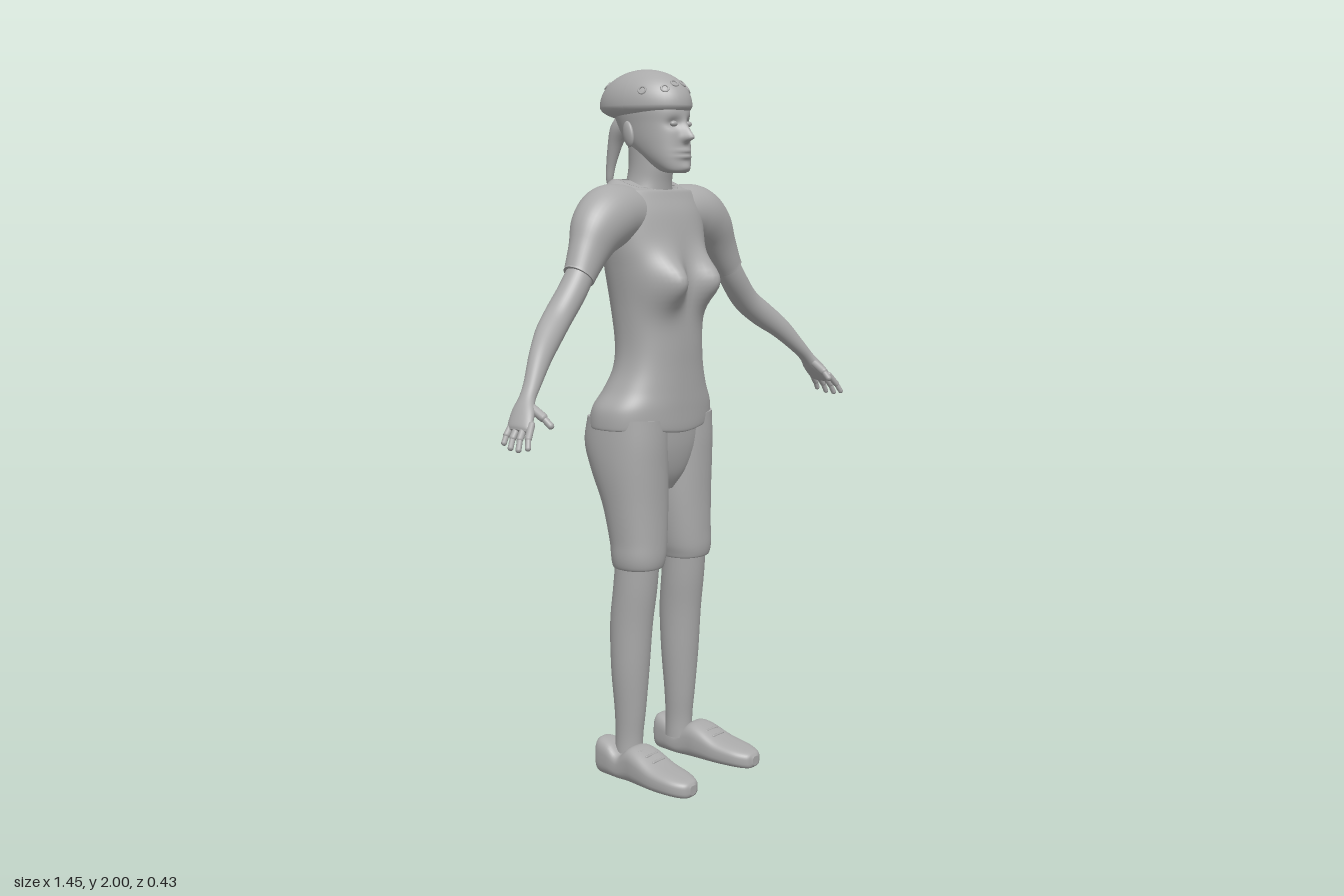
import * as THREE from 'three';

const grey = new THREE.MeshStandardMaterial({ color: 0xaaaaaa });
grey.name = 'plain grey';

// Smooth closed skin through sections [x, y, z, radius across, radius along z].
function loft(sections, { n = 40, steps = 5, pow = 1, rule } = {}) {
  const inter = new THREE.CubicInterpolant(sections.map((_, i) => i), sections.flat(), 5);
  const rows = (sections.length - 1) * steps + 1;
  const rings = [];
  for (let i = 0; i < rows; i++) rings.push(Array.from(inter.evaluate(Math.min(i / steps, sections.length - 1))));
  const pos = [], idx = [];
  const bend = v => Math.sign(v) * Math.pow(Math.abs(v), pow);
  rings.forEach(([x, y, z, a, b], i) => {
    const p = rings[Math.max(i - 1, 0)], q = rings[Math.min(i + 1, rows - 1)];
    const tx = q[0] - p[0], ty = q[1] - p[1], len = Math.hypot(tx, ty) || 1;
    for (let j = 0; j < n; j++) {
      const t = j / n * Math.PI * 2, c = bend(Math.cos(t)) * a;
      const v = new THREE.Vector3(x + c * ty / len, y - c * tx / len, z + bend(Math.sin(t)) * b);
      if (rule) rule(v);
      pos.push(v.x, v.y, v.z);
    }
  });
  for (let i = 0; i < rows - 1; i++) for (let j = 0; j < n; j++) {
    const a = i * n + j, b = i * n + (j + 1) % n;
    idx.push(a, a + n, b, b, a + n, b + n);
  }
  // End caps keep their own corners so the rims stay sharp
  for (const row of [0, rows - 1]) {
    const start = pos.length / 3, mid = [0, 0, 0];
    for (let j = 0; j < n; j++) for (let k = 0; k < 3; k++) {
      const v = pos[(row * n + j) * 3 + k];
      pos.push(v);
      mid[k] += v / n;
    }
    pos.push(...mid);
    for (let j = 0; j < n; j++) {
      const a = start + j, b = start + (j + 1) % n;
      idx.push(start + n, ...(row ? [b, a] : [a, b]));
    }
  }
  const g = new THREE.BufferGeometry();
  g.setAttribute('position', new THREE.Float32BufferAttribute(pos, 3));
  g.setIndex(idx);
  g.computeVertexNormals();
  return g;
}

// Upright sections given as [y, centre x, half width, front z, back z]
const upright = (list, options) =>
  loft(list.map(([y, x, w, f, b]) => [x, y, (f + b) / 2, w, (f - b) / 2]), options);

const bump = (d, size) => Math.exp(-((d / size) ** 2));

function add(parent, name, geometry) {
  const m = new THREE.Mesh(geometry, grey);
  m.name = name;
  parent.add(m);
  return m;
}

function ball(parent, name, [x, y, z], [sx, sy, sz]) {
  const m = add(parent, name, new THREE.SphereGeometry(1, 24, 16));
  m.position.set(x, y, z);
  m.scale.set(sx, sy, sz);
  return m;
}

// Round-ended rod between two points
function rod(parent, name, from, to, r) {
  const a = new THREE.Vector3(...from), b = new THREE.Vector3(...to), d = b.clone().sub(a);
  const m = add(parent, name, new THREE.CapsuleGeometry(r, d.length(), 6, 12));
  m.position.copy(a).lerp(b, 0.5);
  m.quaternion.setFromUnitVectors(new THREE.Vector3(0, 1, 0), d.normalize());
}

function buildSide() {
  const g = new THREE.Group();
  // Arm clothing and arm
  add(g, 'sleeve', loft([
    [0.08, 1.6, -0.06, 0.075, 0.08], [0.15, 1.604, -0.055, 0.083, 0.085], [0.2, 1.593, -0.05, 0.086, 0.083],
    [0.25, 1.56, -0.043, 0.078, 0.07], [0.29, 1.508, -0.036, 0.06, 0.052],
    [0.325, 1.456, -0.032, 0.047, 0.044], [0.334, 1.444, -0.031, 0.045, 0.043]]));
  add(g, 'arm', loft([
    [0.31, 1.475, -0.032, 0.038, 0.037], [0.36, 1.408, -0.03, 0.039, 0.039], [0.42, 1.343, -0.028, 0.038, 0.04],
    [0.48, 1.296, -0.01, 0.038, 0.038], [0.54, 1.25, 0.017, 0.032, 0.031], [0.6, 1.19, 0.045, 0.022, 0.024],
    [0.632, 1.156, 0.057, 0.018, 0.024], [0.657, 1.125, 0.067, 0.018, 0.036],
    [0.682, 1.093, 0.077, 0.014, 0.039], [0.69, 1.083, 0.08, 0.008, 0.032]]));
  for (let k = 0; k < 4; k++) {
    const z = 0.048 + k * 0.021, reach = [0.8, 1, 1.05, 0.92][k];
    const knuckle = [0.68 + 0.022 * reach, 1.09 - 0.022 * reach, z + 0.004 * k];
    rod(g, 'finger', [0.675, 1.1, z], knuckle, 0.009);
    rod(g, 'fingertip', knuckle, [0.682 + 0.032 * reach, 1.09 - 0.046 * reach, z + 0.007 * k], 0.0075);
  }
  rod(g, 'thumb', [0.642, 1.14, 0.075], [0.638, 1.115, 0.115], 0.012);
  rod(g, 'thumbTip', [0.638, 1.115, 0.115], [0.634, 1.095, 0.137], 0.009);

  // Trouser leg ending below the knee
  add(g, 'trouserLeg', upright([
    [0.617, 0.106, 0.064, 0.048, -0.08], [0.622, 0.106, 0.07, 0.055, -0.086], [0.65, 0.106, 0.077, 0.06, -0.09],
    [0.7, 0.102, 0.082, 0.06, -0.098], [0.8, 0.1, 0.092, 0.059, -0.122], [0.9, 0.102, 0.1, 0.061, -0.163],
    [0.97, 0.103, 0.101, 0.063, -0.184], [1.04, 0.1, 0.1, 0.062, -0.175]], { pow: 0.92 }));
  add(g, 'lowerLeg', upright([
    [0.06, 0.117, 0.04, -0.002, -0.085], [0.12, 0.116, 0.039, -0.002, -0.083], [0.2, 0.115, 0.045, 0.006, -0.085],
    [0.32, 0.115, 0.055, 0.016, -0.094], [0.45, 0.113, 0.059, 0.026, -0.098], [0.55, 0.11, 0.062, 0.038, -0.088],
    [0.64, 0.108, 0.062, 0.046, -0.08]]));

  // Shoe, drawn standing and laid forward
  add(g, 'shoe', upright([
    [-0.135, 0.135, 0.022, -0.02, -0.085], [-0.122, 0.135, 0.037, -0.002, -0.107], [-0.08, 0.135, 0.046, 0, -0.1],
    [-0.04, 0.135, 0.049, 0, -0.075], [0, 0.137, 0.052, 0, -0.104], [0.04, 0.14, 0.057, 0, -0.1],
    [0.1, 0.145, 0.059, 0, -0.073], [0.165, 0.149, 0.052, 0, -0.058], [0.203, 0.15, 0.034, -0.001, -0.048],
    [0.215, 0.15, 0.014, -0.01, -0.037]], { pow: 0.68 }).rotateX(Math.PI / 2));
  for (const [z, y] of [[0.035, 0.1], [0.06, 0.092], [0.085, 0.081]])
    rod(g, 'shoelace', [0.118, y - 0.003, z], [0.164, y - 0.003, z], 0.004);

  // Ear
  const ear = ball(g, 'ear', [0.083, 1.822, -0.066], [0.01, 0.036, 0.022]);
  ear.rotation.set(-0.2, 0.3, 0);
  ball(g, 'eye', [0.032, 1.849, 0.052], [0.013, 0.008, 0.009]);
  return g;
}

export function createModel() {
  const model = new THREE.Group();
  const left = buildSide(), right = buildSide();
  left.name = 'leftSide';
  right.name = 'rightSide';
  right.scale.x = -1;
  model.add(left, right);

  // Shirt body with bust, spine groove and dipped collar
  add(model, 'shirt', upright([
    [1.012, 0, 0.2, 0.066, -0.178], [1.02, 0, 0.208, 0.073, -0.186], [1.07, 0, 0.203, 0.075, -0.177],
    [1.12, 0, 0.172, 0.075, -0.153], [1.18, 0, 0.148, 0.075, -0.13], [1.25, 0, 0.14, 0.076, -0.128],
    [1.35, 0, 0.147, 0.074, -0.14], [1.45, 0, 0.164, 0.07, -0.15], [1.52, 0, 0.177, 0.063, -0.153],
    [1.6, 0, 0.186, 0.045, -0.153], [1.65, 0, 0.178, 0.024, -0.151], [1.682, 0, 0.145, 0.01, -0.147],
    [1.698, 0, 0.118, 0.002, -0.142], [1.7, 0, 0.108, -0.004, -0.137]], {
    n: 80, steps: 6, pow: 0.88, rule: v => {
      const front = THREE.MathUtils.smoothstep(v.z, -0.02, 0.03);
      if (v.z < -0.08) v.z += 0.012 * bump(v.x, 0.03) * bump(v.y - 1.35, 0.2);
      v.z += front * 0.069 * bump(Math.abs(v.x) - 0.08, 0.052) * bump(v.y - 1.42, 0.066);
      if (v.y < 1.05) v.y -= front * 0.014 * bump(v.x, 0.1);
      if (v.y > 1.67) v.y -= (v.y - 1.67) * THREE.MathUtils.smoothstep(v.z, -0.1, 0.01);
    } }));

  // Seat joining both trouser legs
  add(model, 'trouserSeat', upright([
    [0.83, 0, 0.03, 0.015, -0.06], [0.88, 0, 0.09, 0.042, -0.11], [0.95, 0, 0.15, 0.058, -0.155],
    [1.03, 0, 0.185, 0.063, -0.17]], { pow: 0.85 }));

  // Neck and head
  add(model, 'neck', upright([
    [1.64, 0, 0.085, 0, -0.135], [1.69, 0, 0.066, 0.003, -0.125], [1.74, 0, 0.06, 0.012, -0.118],
    [1.82, 0, 0.062, 0.015, -0.12]]));
  add(model, 'head', upright([
    [1.716, 0, 0.026, 0.058, 0.015], [1.725, 0, 0.045, 0.069, -0.01], [1.755, 0, 0.062, 0.07, -0.06],
    [1.8, 0, 0.074, 0.068, -0.12], [1.85, 0, 0.08, 0.065, -0.153], [1.89, 0, 0.083, 0.063, -0.165],
    [1.93, 0, 0.075, 0.045, -0.155]], {
    n: 112, steps: 10, pow: 0.94, rule: v => {
      if (v.z < 0.01) return;
      const ax = Math.abs(v.x), drop = v.y - 1.812;
      v.z += 0.027 * bump(ax, 0.013) * bump(drop, drop > 0 ? 0.034 : 0.011);
      v.z += 0.006 * bump(ax, 0.017) * bump(drop, 0.009);
      v.z -= 0.012 * bump(ax - 0.032, 0.018) * bump(v.y - 1.85, 0.014);
      v.z += 0.007 * bump(ax, 0.026) * (bump(v.y - 1.776, 0.006) + bump(v.y - 1.76, 0.006));
      v.z += 0.006 * bump(ax, 0.02) * bump(v.y - 1.73, 0.012);
    } }));

  // Ponytail
  add(model, 'ponytail', loft([
    [0, 1.88, -0.14, 0.02, 0.03], [0, 1.845, -0.158, 0.028, 0.036], [0, 1.8, -0.182, 0.022, 0.022],
    [0, 1.74, -0.199, 0.014, 0.014], [0, 1.7, -0.205, 0.01, 0.01], [0, 1.68, -0.207, 0.004, 0.004]], { n: 20 }));

  // Helmet: domed above, shallow below
  const helmet = new THREE.Group();
  helmet.name = 'helmet';
  helmet.position.set(0, 1.9, -0.072);
  model.add(helmet);
  const size = new THREE.Vector3(0.099, 0.1, 0.145);
  const dome = new THREE.SphereGeometry(1, 48, 32), p = dome.attributes.position;
  for (let i = 0; i < p.count; i++) {
    const y = p.getY(i);
    p.setXYZ(i, p.getX(i) * size.x, y * (y < 0 ? 0.043 : size.y), p.getZ(i) * size.z);
  }
  dome.computeVertexNormals();
  add(helmet, 'helmetShell', dome);
  // Vent rims as [turn from front, height angle]
  for (const [turn, lift] of [[0.22, 0.62], [0.6, 0.45], [1.15, 0.4], [2.6, 0.6]]) for (const s of [-1, 1]) {
    const d = new THREE.Vector3().setFromSphericalCoords(1, Math.PI / 2 - lift, turn * s);
    const ring = add(helmet, 'ventRim', new THREE.TorusGeometry(0.01, 0.003, 8, 16));
    ring.position.copy(d).multiply(size);
    ring.quaternion.setFromUnitVectors(new THREE.Vector3(0, 0, 1), d.divide(size).normalize());
  }
  return model;
}
